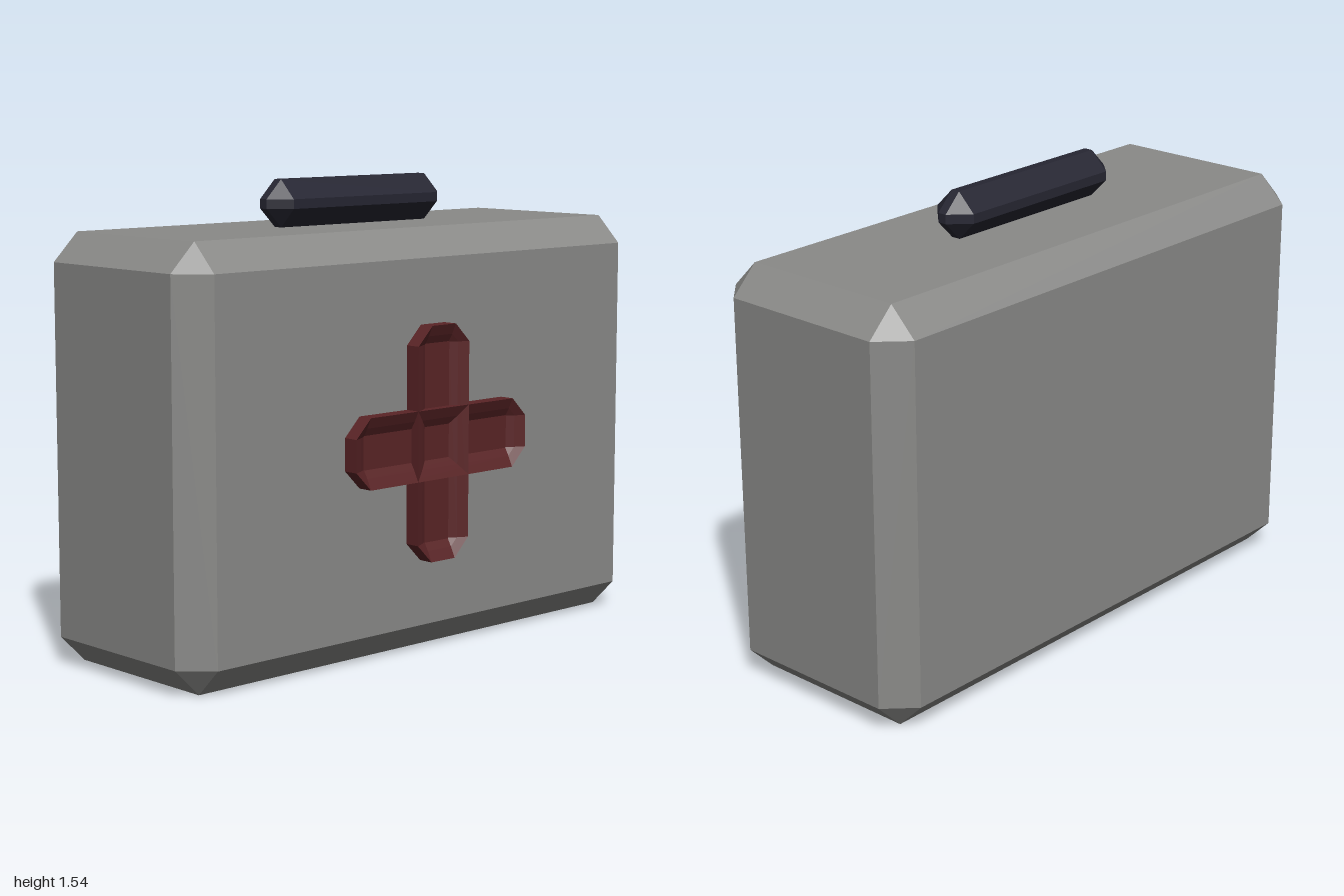
import * as THREE from 'three';
import { ConvexGeometry } from 'three/addons/geometries/ConvexGeometry.js';

function material(name, color) {
  const m = new THREE.MeshStandardMaterial({ color, flatShading: true });
  m.name = name;
  return m;
}

// Box with flat chamfers on every edge and a triangle on every corner
function chamferBox(w, h, d, c) {
  const points = [];
  for (const sx of [-1, 1]) for (const sy of [-1, 1]) for (const sz of [-1, 1]) {
    const x = w / 2, y = h / 2, z = d / 2;
    points.push(
      new THREE.Vector3(sx * x, sy * (y - c), sz * (z - c)),
      new THREE.Vector3(sx * (x - c), sy * y, sz * (z - c)),
      new THREE.Vector3(sx * (x - c), sy * (y - c), sz * z)
    );
  }
  return new ConvexGeometry(points);
}

// Bar with cut corners, a raised rim and a sunken face, lofted from octagon rings
function rimmedBar(w, h) {
  const cut = 0.062;
  const levels = [[0, 0.35], [0, 0.41], [0.035, 0.393], [0.06, 0.378]]; // inset, z
  const rings = levels.map(([inset, z]) => {
    const x = w / 2 - inset, y = h / 2 - inset, c = cut - inset;
    return [
      [x, -y + c, z], [x, y - c, z], [x - c, y, z], [-x + c, y, z],
      [-x, y - c, z], [-x, -y + c, z], [-x + c, -y, z], [x - c, -y, z]
    ];
  });
  const pos = [];
  for (let r = 0; r < rings.length - 1; r++) {
    for (let i = 0; i < 8; i++) {
      const j = (i + 1) % 8, a = rings[r], b = rings[r + 1];
      pos.push(...a[i], ...a[j], ...b[j], ...a[i], ...b[j], ...b[i]);
    }
  }
  const face = rings[rings.length - 1];
  for (let i = 1; i < 7; i++) pos.push(...face[0], ...face[i], ...face[i + 1]);
  const g = new THREE.BufferGeometry();
  g.setAttribute('position', new THREE.Float32BufferAttribute(pos, 3));
  g.computeVertexNormals();
  return g;
}

export function createModel() {
  const model = new THREE.Group();
  model.name = 'firstAidCase';
  const grey = material('case grey', 0x8a8a88);
  const red = material('dark red', 0x5a2426);
  const navy = material('dark navy', 0x262632);

  const add = (name, geometry, mat, x, y, z) => {
    const mesh = new THREE.Mesh(geometry, mat);
    mesh.name = name;
    mesh.position.set(x, y, z);
    model.add(mesh);
  };

  // Case and its carrying handle
  add('caseBody', chamferBox(2, 1.385, 0.767, 0.092), grey, 0, 0.6925, -0.0265);
  add('handle', chamferBox(0.77, 0.155, 0.155, 0.062), navy, 0, 1.4625, -0.0275);

  // Cross on the front
  add('crossHorizontal', rimmedBar(0.77, 0.23), red, 0, 0.695, 0);
  add('crossVertical', rimmedBar(0.23, 0.77), red, 0, 0.695, 0);

  return model;
}
